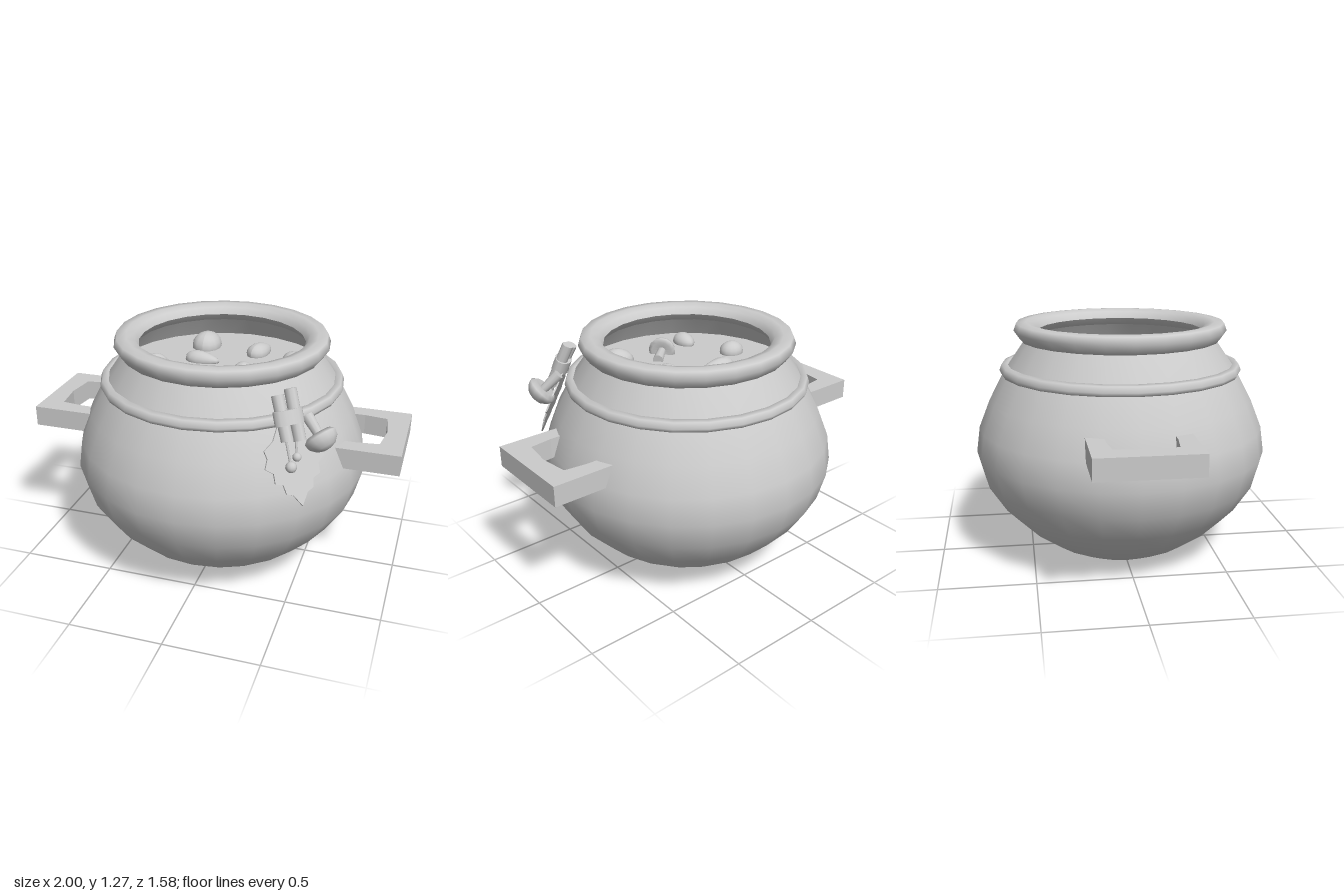
import * as THREE from 'three';

const grey = new THREE.MeshStandardMaterial({ color: 0xcccccc });
const greyDouble = new THREE.MeshStandardMaterial({ color: 0xcccccc, side: THREE.DoubleSide });

function add(parent, name, geometry, material = grey) {
  const mesh = new THREE.Mesh(geometry, material);
  mesh.name = name;
  parent.add(mesh);
  return mesh;
}

const lathe = (pairs) =>
  new THREE.LatheGeometry(pairs.map(([r, y]) => new THREE.Vector2(r, y)), 24);

// Cylinder running between two points
function rod(parent, name, from, to, r0, r1 = r0, sides = 10) {
  const a = new THREE.Vector3(...from), b = new THREE.Vector3(...to);
  const dir = b.clone().sub(a);
  const mesh = add(parent, name, new THREE.CylinderGeometry(r1, r0, dir.length(), sides));
  mesh.position.copy(a).add(b).multiplyScalar(0.5);
  mesh.quaternion.setFromUnitVectors(new THREE.Vector3(0, 1, 0), dir.normalize());
  return mesh;
}

// Ellipsoid that narrows towards +x
function lump(rx, ry, rz, taper) {
  const g = new THREE.SphereGeometry(1, 14, 10);
  const p = g.attributes.position;
  for (let i = 0; i < p.count; i++) {
    const k = 1 - taper * p.getX(i);
    p.setXYZ(i, p.getX(i) * rx, p.getY(i) * ry * k, p.getZ(i) * rz * k);
  }
  g.computeVertexNormals();
  return g;
}

// Stem along +y ending in a domed cap
function mushroom(name, stemLength, capRadius) {
  const g = new THREE.Group();
  g.name = name;
  rod(g, 'mushroomStem', [0, -stemLength, 0], [0, 0.01, 0], 0.03, 0.022);
  const r = capRadius;
  add(g, 'mushroomCap', new THREE.LatheGeometry([
    [0.001, 0], [r * 0.75, -r * 0.2], [r, 0.02 * r], [r * 0.92, r * 0.35],
    [r * 0.6, r * 0.68], [r * 0.28, r * 0.8], [0, r * 0.83],
  ].map(([x, y]) => new THREE.Vector2(x, y)), 14));
  return g;
}

function pointAlong(object, x, y, z) {
  object.quaternion.setFromUnitVectors(
    new THREE.Vector3(0, 1, 0), new THREE.Vector3(x, y, z).normalize());
}

// Charm hung on the shoulder: leaf, bound sticks, berries and a mushroom
function createCharm() {
  const charm = new THREE.Group();
  charm.name = 'charm';
  charm.rotation.set(-0.39, Math.PI / 4, 0, 'YXZ');
  charm.position.set(0.52, 0.86, 0.52);

  // Serrated leaf
  const half = [[0, -0.225], [0.04, -0.165], [0.075, -0.15], [0.085, -0.105], [0.125, -0.09],
    [0.125, -0.04], [0.165, -0.01], [0.145, 0.035], [0.155, 0.075], [0.1, 0.11], [0.06, 0.18]];
  const outline = [...half, [0, 0.22], ...half.slice(1).reverse().map(([x, y]) => [-x, y])];
  const leaf = new THREE.Shape(outline.map(([x, y]) => new THREE.Vector2(x, y)));
  add(charm, 'leaf', new THREE.ExtrudeGeometry(leaf, { depth: 0.008, bevelEnabled: false }),
    greyDouble);

  // Sticks and their binding
  rod(charm, 'leftStick', [-0.042, 0.10, 0.04], [-0.042, 0.32, 0.02], 0.031);
  rod(charm, 'rightStick', [0.026, 0.09, 0.04], [0.026, 0.34, 0.03], 0.031);
  const band = add(charm, 'binding', new THREE.CylinderGeometry(1, 1, 0.07, 14));
  band.scale.set(0.078, 1, 0.045);
  band.position.set(-0.008, 0.21, 0.03);

  // Berries on thin stalks
  for (const [x, y, r, topX] of [[-0.04, -0.025, 0.028, -0.045], [0, 0.015, 0.022, 0.012]]) {
    rod(charm, 'berryStalk', [x, y, 0.03], [topX, 0.12, 0.035], 0.006, 0.006, 6);
    add(charm, 'berry', new THREE.SphereGeometry(r, 12, 8)).position.set(x, y, 0.03);
  }
  return charm;
}

export function createModel() {
  const model = new THREE.Group();
  model.name = 'stewPot';

  // Pot body, base, shoulder band and rolled rim
  add(model, 'potBody', lathe([[0.28, 0], [0.41, 0.065], [0.54, 0.16], [0.66, 0.28], [0.75, 0.42],
    [0.79, 0.57], [0.77, 0.71], [0.71, 0.86], [0.625, 1.02], [0.5, 1.2]]), greyDouble);
  add(model, 'potBase', new THREE.CircleGeometry(0.28, 24)).rotation.x = Math.PI / 2;
  add(model, 'shoulderBand', lathe([[0.59, 1.025], [0.61, 1.0], [0.642, 1.0], [0.652, 1.02],
    [0.64, 1.05], [0.61, 1.055], [0.59, 1.025]]));
  add(model, 'rim', lathe([[0.44, 1.225], [0.47, 1.185], [0.535, 1.18], [0.57, 1.23],
    [0.555, 1.27], [0.505, 1.275], [0.46, 1.262], [0.44, 1.225]]));

  // Square handles on both sides
  for (const side of [1, -1]) {
    const shape = new THREE.Shape([[0.65, -0.26], [1, -0.26], [1, 0.26], [0.65, 0.26],
      [0.65, 0.17], [0.76, 0.17], [0.88, 0.155], [0.9, 0], [0.88, -0.155], [0.76, -0.17],
      [0.65, -0.17]].map(([x, z]) => new THREE.Vector2(x, z)));
    const handle = add(model, side > 0 ? 'leftHandle' : 'rightHandle',
      new THREE.ExtrudeGeometry(shape, { depth: 0.11, bevelEnabled: false }));
    handle.rotation.set(-Math.PI / 2, 0, side > 0 ? 0 : Math.PI);
    handle.position.y = 0.71;
  }

  // Stew surface with floating chunks: x, z, half length, half width, taper, turn
  const stew = add(model, 'stew', new THREE.CircleGeometry(0.59, 24));
  stew.rotation.x = -Math.PI / 2;
  stew.position.y = 1.06;
  const chunks = [
    [-0.19, -0.33, 0.105, 0.082, 0.1, 1.6], [0.13, -0.30, 0.095, 0.055, 0.3, 1.25],
    [0.34, -0.20, 0.07, 0.058, 0.1, -1.3], [-0.14, -0.09, 0.10, 0.048, 0.35, -0.1],
    [-0.36, 0.045, 0.07, 0.062, 0, 0], [0.12, 0.005, 0.065, 0.054, 0.1, 1.57],
    [0.385, 0.055, 0.085, 0.045, 0.3, -0.95], [-0.25, 0.33, 0.075, 0.055, 0.15, 1.5],
    [0.215, 0.33, 0.085, 0.07, 0.1, 2.6],
  ];
  for (const [x, z, rx, rz, taper, turn] of chunks) {
    const chunk = add(model, 'stewChunk', lump(rx, rz * 0.9, rz, taper));
    chunk.position.set(x, 1.07, z);
    chunk.rotation.y = turn;
  }
  const floating = mushroom('floatingMushroom', 0.12, 0.075);
  floating.position.set(-0.04, 1.08, 0.27);
  pointAlong(floating, -0.72, 0.1, 0.65);
  model.add(floating);

  // Charm and its mushroom
  model.add(createCharm());
  const hanging = mushroom('hangingMushroom', 0.12, 0.085);
  hanging.position.set(0.625, 0.965, 0.45);
  pointAlong(hanging, 0.6, -0.65, 0.35);
  model.add(hanging);

  return model;
}
